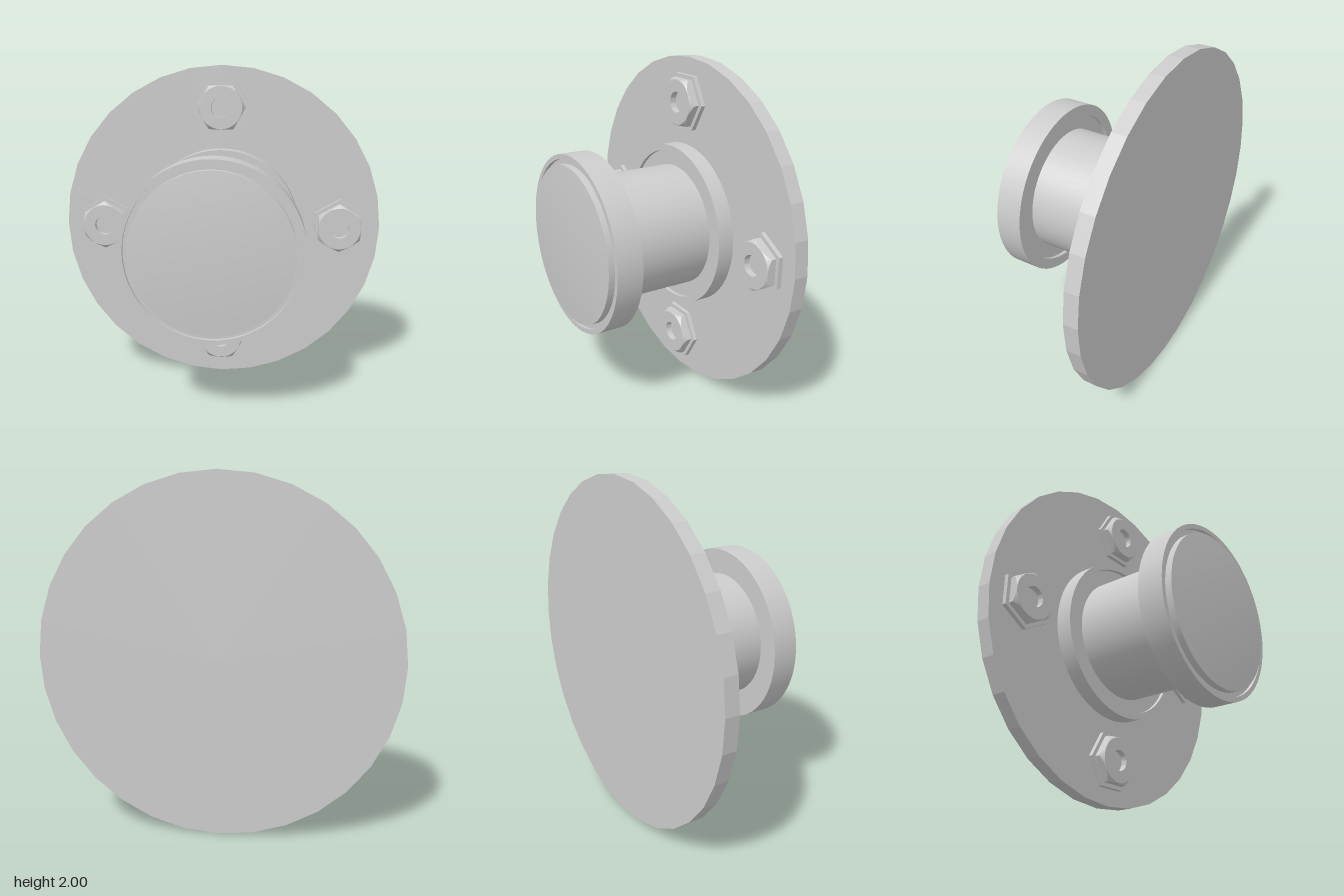
import * as THREE from 'three';
import { toCreasedNormals } from 'three/addons/utils/BufferGeometryUtils.js';

const smooth = new THREE.MeshStandardMaterial({ color: 0xcccccc });
const flat = new THREE.MeshStandardMaterial({ color: 0xcccccc, flatShading: true });

// Turned part along z from [radius, z] points, listed back to front
function turned(name, profile) {
  const pts = profile.map(([r, z]) => new THREE.Vector2(r, z));
  const geo = new THREE.LatheGeometry(pts, 64).rotateX(Math.PI / 2);
  const mesh = new THREE.Mesh(toCreasedNormals(geo, 0.5), smooth);
  mesh.name = name;
  return mesh;
}

// Hexagonal nut with rounded chamfer and a blind bore, from stacked loops
function nutGeometry(flatR, z0, z1, boreR, boreZ) {
  const n = 48, pos = [], index = [];
  const hexR = (a) => {
    const s = Math.PI / 3;
    return flatR / Math.cos((((a % s) + s) % s) - s / 2);
  };
  const topR = flatR * 0.99;
  const loops = [
    (a) => [hexR(a), z0],
    (a) => [hexR(a), z1 - (hexR(a) - topR) * 1.1],
    () => [topR, z1],
    () => [boreR, z1],
    () => [boreR, boreZ],
    () => [0, boreZ],
  ];
  for (const loop of loops) {
    for (let i = 0; i < n; i++) {
      const a = (i / n) * Math.PI * 2;
      const [r, z] = loop(a);
      pos.push(r * Math.cos(a), r * Math.sin(a), z);
    }
  }
  for (let l = 0; l < loops.length - 1; l++) {
    for (let i = 0; i < n; i++) {
      const j = (i + 1) % n;
      const a = l * n + i, b = l * n + j, c = a + n, d = b + n;
      index.push(a, b, d, a, d, c);
    }
  }
  const geo = new THREE.BufferGeometry();
  geo.setAttribute('position', new THREE.Float32BufferAttribute(pos, 3));
  geo.setIndex(index);
  return toCreasedNormals(geo, 0.4);
}

export function createModel() {
  const model = new THREE.Group();
  model.name = 'flangedKnob';
  const body = new THREE.Group();
  body.name = 'body';
  body.position.y = 1;
  model.add(body);

  // Round mounting plate
  const plate = new THREE.Mesh(new THREE.CylinderGeometry(1, 1, 0.085, 32).rotateX(Math.PI / 2), flat);
  plate.name = 'plate';
  plate.position.z = -0.4025;
  body.add(plate);

  // Collar, barrel and rimmed head
  body.add(turned('collar', [
    [0.49, -0.36], [0.49, -0.262], [0.455, -0.262], [0.455, -0.285], [0.3, -0.285],
  ]));
  body.add(turned('barrel', [[0.367, -0.3], [0.367, 0.29]]));
  body.add(turned('head', [
    [0.3, 0.273], [0.455, 0.273], [0.455, 0.25], [0.52, 0.25],
    [0.52, 0.405], [0.492, 0.405], [0.492, 0.385], [0.4, 0.385],
  ]));

  // Shallow domed cap
  const capR = 0.463;
  const dome = [[capR, 0.38], [capR, 0.425]];
  for (let i = 1; i <= 8; i++) {
    const t = 1 - i / 8;
    dome.push([capR * t, 0.425 + 0.02 * (1 - t * t)]);
  }
  body.add(turned('cap', dome));

  // Four nuts on hexagonal washers
  const nutGeo = nutGeometry(0.132, -0.335, -0.282, 0.06, -0.32);
  const washerGeo = new THREE.CylinderGeometry(0.178, 0.178, 0.026, 6)
    .rotateX(Math.PI / 2).rotateZ(Math.PI / 2);
  for (let i = 0; i < 4; i++) {
    const bolt = new THREE.Group();
    bolt.name = 'bolt' + (i + 1);
    const washer = new THREE.Mesh(washerGeo, flat);
    washer.name = 'washer';
    washer.position.set(0, 0.746, -0.347);
    const nut = new THREE.Mesh(nutGeo, smooth);
    nut.name = 'nut';
    nut.position.y = 0.746;
    bolt.add(washer, nut);
    bolt.rotation.z = (i * Math.PI) / 2;
    body.add(bolt);
  }
  return model;
}
